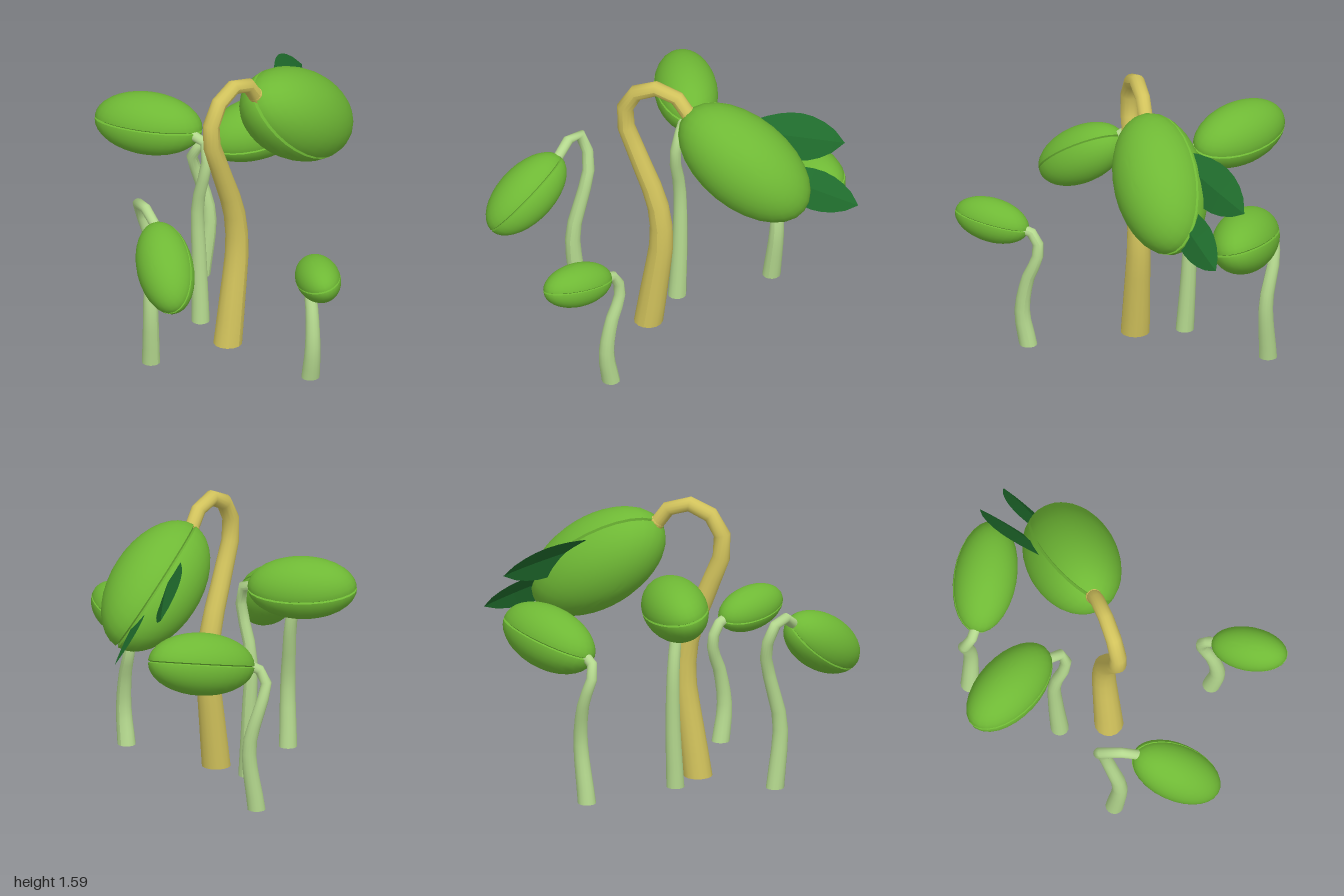
import * as THREE from 'three';
import { toCreasedNormals } from 'three/addons/utils/BufferGeometryUtils.js';

const V = (a) => new THREE.Vector3(...a);
const paint = (color, extra = {}) => new THREE.MeshStandardMaterial({ color, ...extra });

const podMat = paint(0x6fb935);
const leafMat = paint(0x1f6b2c, { side: THREE.DoubleSide, flatShading: true });
const stalkMat = paint(0xb4d88e);
const mainStalkMat = paint(0xd2c35c);

// Tapering stalk swept along a path, with both ends closed
function makeStalk(name, points, r0, r1, segments, material) {
  const group = new THREE.Group();
  group.name = name;
  const sides = 14;
  const curve = new THREE.CatmullRomCurve3(points.map(V), false, 'centripetal');
  const geo = new THREE.TubeGeometry(curve, segments, 1, sides, false);
  const pos = geo.attributes.position;
  const p = new THREE.Vector3();
  for (let i = 0; i < pos.count; i++) {
    const t = Math.floor(i / (sides + 1)) / segments;
    const c = curve.getPointAt(t);
    const r = r1 + (r0 - r1) * Math.pow(1 - t, 1.4);
    p.fromBufferAttribute(pos, i).sub(c).multiplyScalar(r).add(c);
    // Cut the foot level with the ground
    pos.setXYZ(i, p.x, t === 0 ? points[0][1] : p.y, p.z);
  }
  geo.computeVertexNormals();
  const tube = new THREE.Mesh(geo, material);
  tube.name = name + 'Tube';
  group.add(tube);

  for (const [t, r, dir] of [[0, r0, -1], [1, r1, 1]]) {
    const cap = new THREE.Mesh(new THREE.CircleGeometry(r, sides), material);
    cap.name = t ? 'stalkTip' : 'stalkFoot';
    cap.position.copy(curve.getPointAt(t));
    const facing = t ? curve.getTangentAt(1) : new THREE.Vector3(0, dir, 0);
    cap.quaternion.setFromUnitVectors(new THREE.Vector3(0, 0, 1), facing);
    group.add(cap);
  }
  return group;
}

// Two-lobed seed pod: local x is its length, z points to the seam, y across the lobes
function makePod(name, center, axis, seam, length, radius) {
  const group = new THREE.Group();
  group.name = name;
  const d = V(axis).normalize();
  const n = V(seam).cross(d).normalize();
  const s = d.clone().cross(n);
  group.quaternion.setFromRotationMatrix(new THREE.Matrix4().makeBasis(d, n, s));
  group.position.copy(V(center));

  const profile = [];
  const gap = 0.035, steps = 9;
  for (let i = 0; i <= steps; i++) {
    const a = -Math.PI / 2 + (Math.PI / 2 - gap) * (i / steps);
    profile.push(new THREE.Vector2(i ? Math.cos(a) : 0, Math.sin(a)));
  }
  const upper = profile.map((q) => new THREE.Vector2(q.x, -q.y)).reverse();
  const outline = [...profile, new THREE.Vector2(0.95, 0), ...upper];
  let geo = new THREE.LatheGeometry(outline, 28);
  geo.scale(length, radius, radius);
  geo = toCreasedNormals(geo, 0.7);
  const body = new THREE.Mesh(geo, podMat);
  body.name = name + 'Lobes';
  group.add(body);
  return group;
}

// Leaf blade folded along its midrib, from base to tip in the pod's frame
function makeLeaf(name, base, tip, width) {
  const geo = new THREE.PlaneGeometry(2, 1, 4, 10);
  const a = V(base), b = V(tip);
  const side = new THREE.Vector3(0, 1, 0).cross(b.clone().sub(a)).normalize();
  const pos = geo.attributes.position;
  for (let i = 0; i < pos.count; i++) {
    const u = pos.getX(i), t = pos.getY(i) + 0.5;
    const w = width * Math.pow(Math.max(0, Math.sin(Math.PI * Math.pow(t, 1.25))), 0.75);
    const q = a.clone().lerp(b, t).addScaledVector(side, u * w);
    q.y += 0.2 * w * (Math.abs(u) - 0.5);
    pos.setXYZ(i, q.x, q.y, q.z);
  }
  geo.computeVertexNormals();
  const leaf = new THREE.Mesh(geo, leafMat);
  leaf.name = name;
  return leaf;
}

export function createModel() {
  const model = new THREE.Group();
  model.name = 'sprouts';

  // Tall hooked sprout with its large pod and two leaves
  model.add(makeStalk('mainStalk', [
    [-0.15, 0, -0.05], [-0.11, 0.28, -0.05], [-0.075, 0.57, -0.05], [-0.1, 0.79, -0.05],
    [-0.21, 1.08, -0.05], [-0.29, 1.31, -0.05], [-0.26, 1.45, -0.05], [-0.165, 1.53, -0.05],
    [-0.05, 1.55, -0.05], [0.03, 1.5, -0.05], [0.09, 1.41, -0.05],
  ], 0.08, 0.04, 15, mainStalkMat));
  const collar = new THREE.Mesh(new THREE.TorusGeometry(0.032, 0.012, 6, 14), mainStalkMat);
  collar.name = 'stalkCollar';
  collar.position.set(0.075, 1.435, -0.05);
  collar.rotation.set(Math.PI / 2, 0.6, 0);
  model.add(collar);

  const mainPod = makePod('mainPod', [0.405, 1.185, -0.045], [0.82, -0.57, 0],
    [0.43, 0.615, -0.66], 0.42, 0.25);
  mainPod.add(makeLeaf('upperLeaf', [-0.17, 0, 0.1], [0.37, 0.1, 0.43], 0.13));
  mainPod.add(makeLeaf('lowerLeaf', [0.08, 0, 0.02], [0.635, 0.03, 0.21], 0.11));
  model.add(mainPod);

  // Four smaller sprouts around it
  const sprouts = [
    {
      name: 'right',
      path: [[-0.61, 0.01, -0.2], [-0.635, 0.37, -0.18], [-0.6, 0.58, -0.215], [-0.57, 0.76, -0.25],
        [-0.595, 0.89, -0.285], [-0.645, 0.99, -0.26], [-0.67, 0.97, -0.17], [-0.69, 0.92, -0.1]],
      pod: [[-0.81, 0.765, 0.08], [-0.48, -0.55, 0.68], [0.45, 0.51, 0.74], 0.277, 0.155],
    },
    {
      name: 'front',
      path: [[-0.15, 0, 0.55], [-0.165, 0.2, 0.58], [-0.14, 0.42, 0.55], [-0.115, 0.53, 0.51],
        [-0.125, 0.63, 0.505], [-0.155, 0.69, 0.545], [-0.18, 0.7, 0.59]],
      pod: [[-0.28, 0.715, 0.72], [-0.58, 0.13, 0.8], [0.78, 0.25, 0.53], 0.213, 0.12],
    },
    {
      name: 'back',
      path: [[-0.08, 0.015, -0.31], [-0.07, 0.4, -0.33], [-0.075, 0.72, -0.335], [-0.08, 0.95, -0.275],
        [-0.06, 1.08, -0.28], [-0.06, 1.125, -0.33], [-0.07, 1.13, -0.4]],
      pod: [[-0.145, 1.14, -0.63], [-0.46, 0.03, -0.88], [0.87, -0.2, -0.45], 0.3, 0.172],
    },
    {
      name: 'left',
      path: [[0.335, 0.01, -0.67], [0.375, 0.37, -0.65], [0.345, 0.6, -0.7], [0.3, 0.73, -0.71],
        [0.305, 0.8, -0.67], [0.36, 0.84, -0.62]],
      pod: [[0.585, 0.875, -0.48], [0.84, 0.18, 0.51], [-0.45, -0.25, 0.83], 0.31, 0.172],
    },
  ];
  for (const { name, path, pod } of sprouts) {
    model.add(makeStalk(name + 'Stalk', path, 0.05, 0.028, 11, stalkMat));
    model.add(makePod(name + 'Pod', ...pod));
  }
  return model;
}
